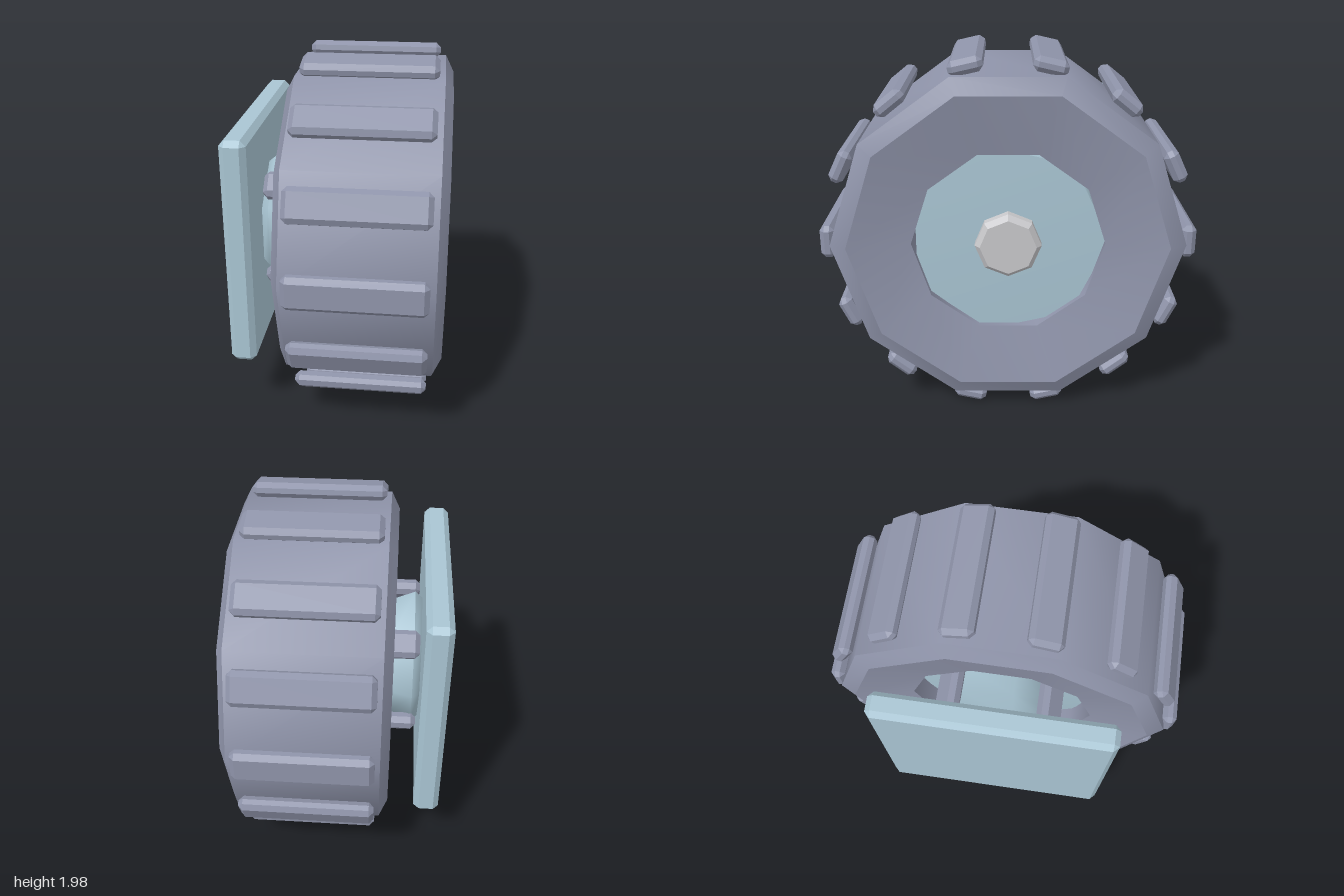
import * as THREE from 'three';
import { toCreasedNormals } from 'three/addons/utils/BufferGeometryUtils.js';
import { ConvexGeometry } from 'three/addons/geometries/ConvexGeometry.js';

const AXLE_Y = 0.99;
const rad = THREE.MathUtils.degToRad;

function material(name, color) {
  const m = new THREE.MeshStandardMaterial({ color });
  m.name = name;
  return m;
}

// Box with every edge cut off at 45 degrees
function chamferBox(w, h, d, c) {
  const half = [w / 2, h / 2, d / 2];
  const points = [];
  for (const sx of [-1, 1]) for (const sy of [-1, 1]) for (const sz of [-1, 1]) {
    const signs = [sx, sy, sz];
    for (let full = 0; full < 3; full++) {
      const p = signs.map((s, i) => s * (i === full ? half[i] : half[i] - c));
      points.push(new THREE.Vector3(...p));
    }
  }
  return new ConvexGeometry(points);
}

// Solid turned around the x axis; profile pairs are [radius, x]
function turned(profile, sides, start, crease) {
  const points = profile.map(([r, x]) => new THREE.Vector2(r, x));
  const geo = new THREE.LatheGeometry(points, sides, start);
  geo.rotateZ(-Math.PI / 2);
  return toCreasedNormals(geo, rad(crease));
}

export function createModel() {
  const slate = material('slate rubber', 0x8f94aa);
  const blue = material('pale blue metal', 0xa9c5d3);
  const grey = material('light grey metal', 0xc8c8cb);

  const model = new THREE.Group();
  model.name = 'wheelAssembly';
  const wheel = new THREE.Group();
  wheel.name = 'wheel';
  wheel.position.y = AXLE_Y;
  model.add(wheel);

  function add(name, geo, mat, parent = wheel) {
    const mesh = new THREE.Mesh(geo, mat);
    mesh.name = name;
    parent.add(mesh);
    return mesh;
  }

  // Ten-sided tyre with bevelled shoulders and dished side walls
  add('tyre', turned([
    [0.515, -0.22], [0.85, -0.29], [0.94, -0.245], [0.94, 0.53],
    [0.85, 0.575], [0.515, 0.505], [0.515, -0.22],
  ], 10, 0, 37), slate);

  // Seven-sided hub: drum at the mount, wide rim disc inside the tyre
  add('hub', turned([
    [0, -0.44], [0.355, -0.44], [0.39, -0.4], [0.34, -0.27], [0.32, -0.12],
    [0.545, -0.1], [0.545, 0.47], [0, 0.49],
  ], 7, Math.PI, 53), blue);

  // Eight-sided axle cap
  add('axleCap', turned([
    [0, 0.42], [0.177, 0.42], [0.177, 0.53], [0.15, 0.56], [0, 0.56],
  ], 8, 0, 30), grey);

  // Tread blocks around the tyre
  const treadGeo = chamferBox(0.72, 0.08, 0.18, 0.026);
  for (let i = 0; i < 14; i++) {
    const pivot = new THREE.Group();
    pivot.name = 'treadPivot';
    pivot.rotation.x = Math.PI / 2 + (i * Math.PI * 2) / 14;
    wheel.add(pivot);
    add('treadBlock', treadGeo, slate, pivot).position.set(0.14, 0.96, 0);
  }

  // Four lugs around the hub drum
  const lugGeo = chamferBox(0.36, 0.09, 0.15, 0.026);
  for (let i = 0; i < 4; i++) {
    const pivot = new THREE.Group();
    pivot.name = 'lugPivot';
    pivot.rotation.x = Math.PI / 4 + (i * Math.PI) / 2;
    wheel.add(pivot);
    add('hubLug', lugGeo, slate, pivot).position.set(-0.25, 0.39, 0);
  }

  // Square mounting plate
  add('mountingPlate', chamferBox(0.14, 1.28, 1.28, 0.03), blue).position.x = -0.51;

  return model;
}
